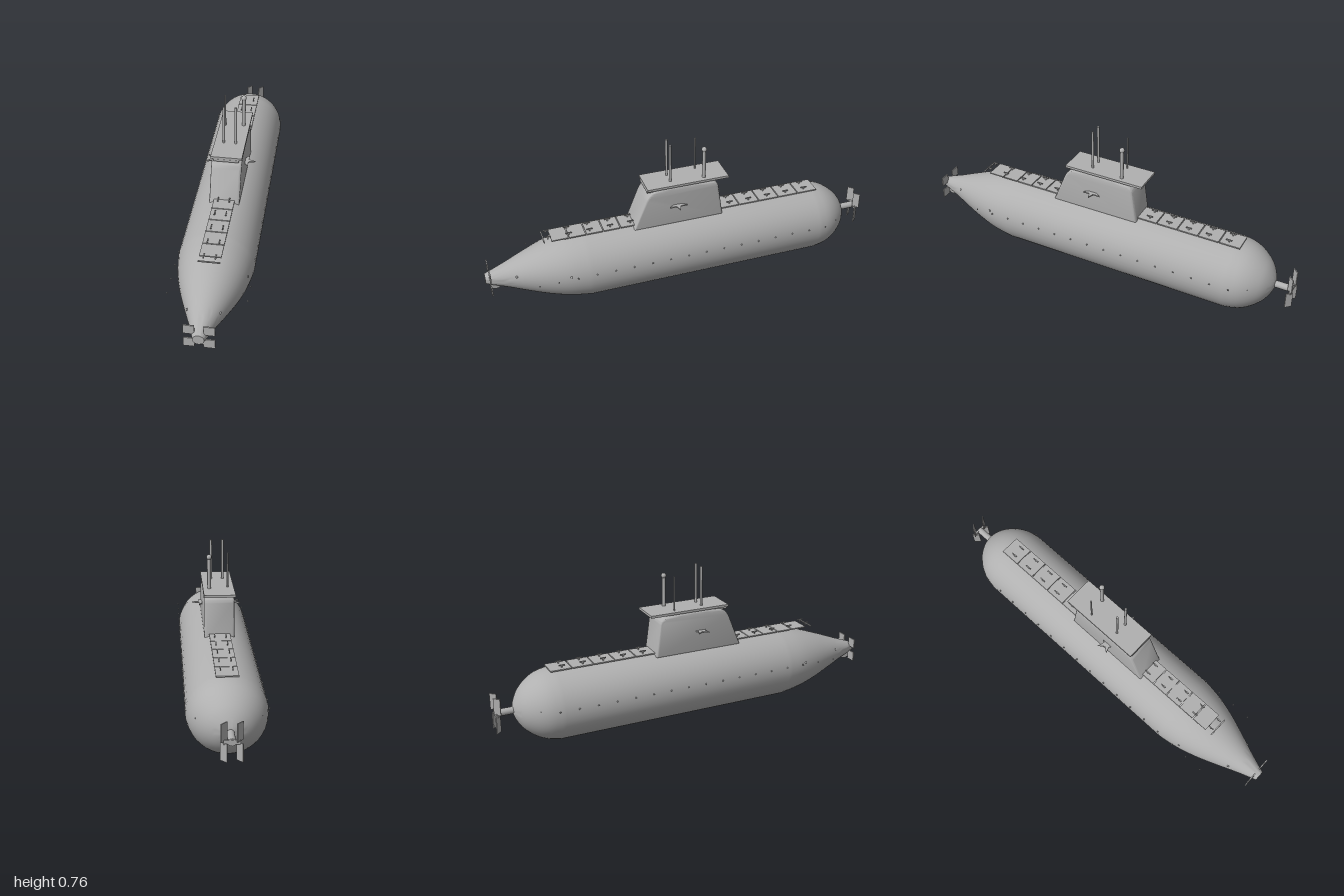
import * as THREE from 'three';
import { toCreasedNormals } from 'three/addons/utils/BufferGeometryUtils.js';

export function createModel() {
  const model = new THREE.Group();
  model.name = 'submarine';
  const grey = new THREE.MeshStandardMaterial({ color: 0xb0b0b0 });
  grey.name = 'hull grey';

  const AXIS = 0.177; // height of the hull centre line

  const add = (name, geometry, x = 0, y = 0, z = 0) => {
    const mesh = new THREE.Mesh(geometry, grey);
    mesh.name = name;
    mesh.position.set(x, y, z);
    model.add(mesh);
    return mesh;
  };
  const box = (name, w, h, d, x, y, z) => add(name, new THREE.BoxGeometry(w, h, d), x, y, z);

  // Hull: blunt rounded stern, long parallel body, tapering bow
  const tail = new THREE.SplineCurve([
    [0.02, -0.905], [0.045, -0.896], [0.08, -0.877], [0.11, -0.852],
    [0.143, -0.81], [0.166, -0.76], [0.177, -0.7],
  ].map((p) => new THREE.Vector2(...p)));
  const bow = new THREE.SplineCurve([
    [0.177, 0.5], [0.162, 0.6], [0.135, 0.7], [0.099, 0.8], [0.06, 0.9], [0.025, 1],
  ].map((p) => new THREE.Vector2(...p)));
  const profile = [
    new THREE.Vector2(0, -0.907), ...tail.getPoints(16), ...bow.getPoints(18), new THREE.Vector2(0, 1),
  ];
  const hull = new THREE.LatheGeometry(profile, 40).rotateX(Math.PI / 2).scale(1.03, 1, 1);
  add('hull', toCreasedNormals(hull, 0.7), 0, AXIS, 0);

  // Sail: side profile extruded across the width with softened edges
  const side = new THREE.Shape();
  side.moveTo(-0.2, 0.335);
  side.lineTo(0.265, 0.335);
  side.lineTo(0.2, 0.495);
  side.quadraticCurveTo(0.18, 0.535, 0.145, 0.54);
  side.quadraticCurveTo(0, 0.552, -0.14, 0.537);
  side.quadraticCurveTo(-0.172, 0.532, -0.176, 0.505);
  side.closePath();
  const sail = new THREE.ExtrudeGeometry(side, {
    depth: 0.122, bevelEnabled: true, bevelThickness: 0.012, bevelSize: 0.012,
    bevelOffset: -0.012, bevelSegments: 4, curveSegments: 8,
  });
  sail.translate(0, 0, -0.061).rotateY(-Math.PI / 2);
  add('sail', toCreasedNormals(sail, 0.6));
  box('sailRoof', 0.15, 0.012, 0.415, 0, 0.554, -0.017);
  box('roofSupport', 0.12, 0.012, 0.09, 0, 0.541, 0.145);

  // Star-shaped planes on the sail
  const star = new THREE.Shape();
  for (let i = 0; i < 10; i++) {
    const r = i % 2 ? 0.018 : 0.048;
    const a = (i * Math.PI) / 5;
    star[i ? 'lineTo' : 'moveTo'](r * Math.cos(a), r * Math.sin(a));
  }
  star.closePath();
  const starGeometry = new THREE.ExtrudeGeometry(star, { depth: 0.006, bevelEnabled: false });
  starGeometry.translate(0, 0, -0.003).rotateX(Math.PI / 2);
  for (const s of [-1, 1]) add('sailPlane', starGeometry, 0.075 * s, 0.445, 0.04);

  // Masts: x, z, radius, top
  for (const [x, z, r, top] of [
    [-0.03, 0.062, 0.006, 0.76], [0.028, 0.062, 0.006, 0.76],
    [-0.045, -0.09, 0.004, 0.732], [0.045, -0.105, 0.009, 0.71],
  ]) {
    add('mast', new THREE.CylinderGeometry(r, r, top - 0.555, 12), x, (top + 0.555) / 2, z);
  }
  add('mastBall', new THREE.SphereGeometry(0.013, 16, 12), 0.045, 0.715, -0.105);

  // Deck walkways in panels, with pairs of cleats
  for (const [start, end, firstCleat] of [[-0.73, -0.19, -0.665], [0.24, 0.67, 0.27]]) {
    const step = (end - start) / 5;
    for (let i = 0; i < 5; i++) {
      box('deckPanel', 0.1, 0.006, step - 0.005, 0, 0.356, start + (i + 0.5) * step);
      for (const s of [-1, 1]) {
        const z = firstCleat + i * 0.103;
        box('cleat', 0.005, 0.005, 0.03, 0.027 * s, 0.371, z);
        box('cleatPost', 0.004, 0.012, 0.006, 0.027 * s, 0.363, z);
      }
    }
  }
  box('deckEndBar', 0.1, 0.005, 0.006, 0, 0.356, 0.703);

  // Rows of small side lights
  const dot = new THREE.SphereGeometry(0.004, 8, 6);
  for (const s of [-1, 1]) {
    for (let i = 0; i < 17; i++) add('sideLight', dot, 0.182 * s, 0.205, 0.765 - i * 0.0935);
    add('bowLight', new THREE.SphereGeometry(0.006, 8, 6), 0.16 * s, 0.205, 0.607);
    add('noseLight', new THREE.SphereGeometry(0.006, 8, 6), 0.073 * s, 0.205, 0.855);
    add('sternLight', dot, 0.141 * s, 0.205, -0.81);
  }

  // Bow planes and the drum beneath the nose
  for (const sx of [-1, 1]) {
    for (const sy of [-1, 1]) {
      box('bowPlane', 0.05, 0.048, 0.006, 0.045 * sx, AXIS + 0.037 * sy, 0.978);
    }
  }
  const drum = new THREE.CylinderGeometry(0.02, 0.02, 0.04, 20).rotateZ(Math.PI / 2).scale(1, 1, 1.35);
  add('noseDrum', drum, 0, 0.14, 0.955);

  // Propeller shaft with four angled blades
  const shaft = new THREE.CylinderGeometry(0.017, 0.017, 0.095, 16).rotateX(Math.PI / 2);
  add('propellerShaft', shaft, 0, AXIS, -0.942);
  for (const sx of [-1, 1]) {
    for (const sy of [-1, 1]) {
      const blade = box('propellerBlade', 0.036, 0.082, 0.005, 0.033 * sx, AXIS + 0.045 * sy, -0.985);
      blade.rotation.y = (Math.PI / 4) * sy;
    }
  }
  box('propellerHub', 0.07, 0.02, 0.01, 0, AXIS, -0.985);

  return model;
}
